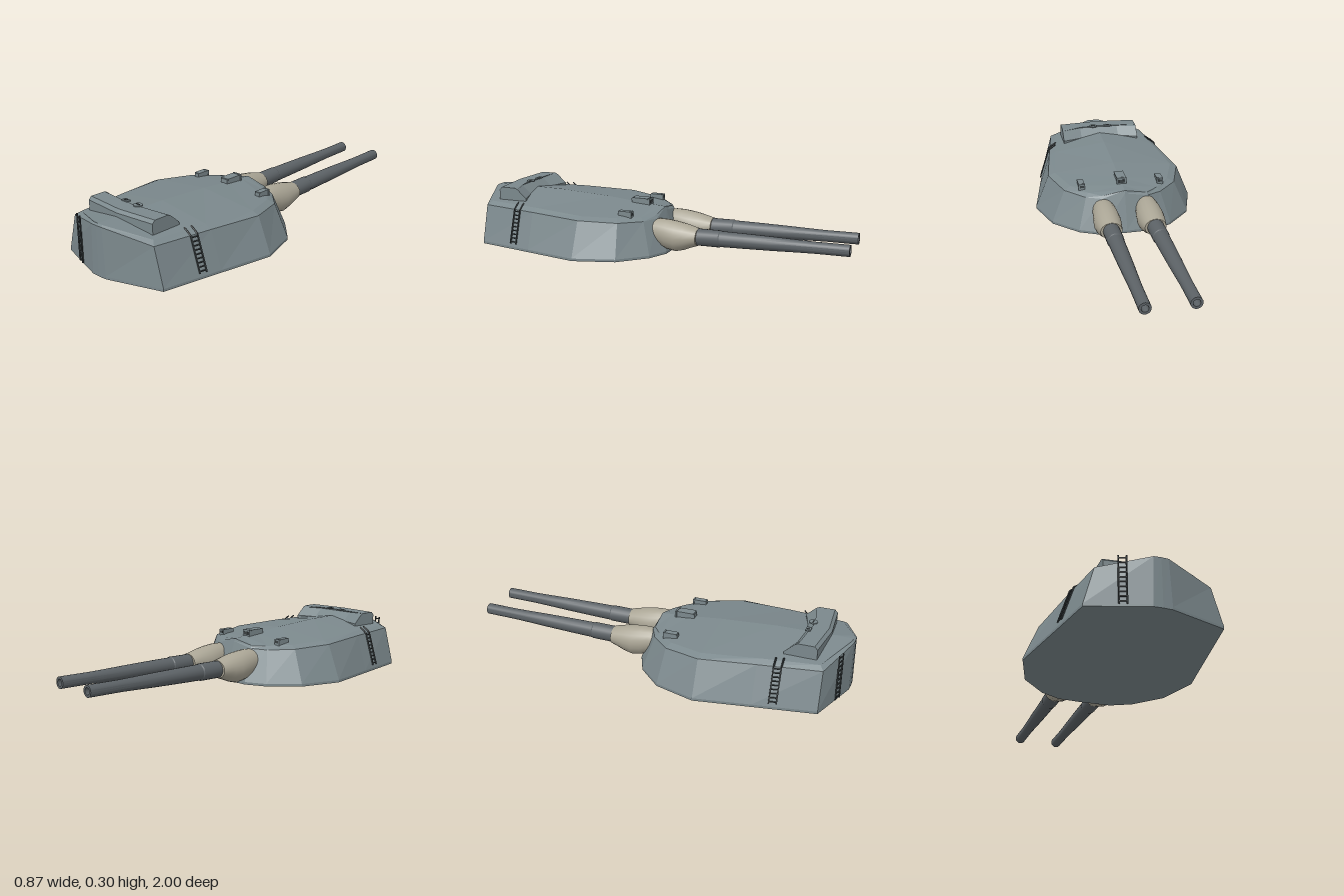
import * as THREE from 'three';
import { toCreasedNormals } from 'three/addons/utils/BufferGeometryUtils.js';

const V = (x, y, z) => new THREE.Vector3(x, y, z);
const paint = (color, flatShading = false) => new THREE.MeshStandardMaterial({ color, flatShading });

// Skin over a grid of points: grid[i][j], faces i -> i+1, j -> j+1
function skin(grid) {
  const n = grid[0].length, idx = [];
  for (let i = 0; i < grid.length - 1; i++)
    for (let j = 0; j < n - 1; j++) {
      const a = i * n + j, b = a + n;
      idx.push(a, b, b + 1, a, b + 1, a + 1);
    }
  const g = new THREE.BufferGeometry().setFromPoints(grid.flat());
  g.setIndex(idx);
  g.computeVertexNormals();
  return g;
}

export function createModel() {
  const model = new THREE.Group();
  const hullMat = paint(0x7b888c, true), fittingMat = paint(0x7b888c);
  const barrelMat = paint(0x5c6266), bagMat = paint(0xaaa595), darkMat = paint(0x3a4042);

  const add = (parent, name, geo, mat, x = 0, y = 0, z = 0) => {
    const m = new THREE.Mesh(geo, mat);
    m.name = name;
    m.position.set(x, y, z);
    parent.add(m);
    return m;
  };
  const box = (parent, name, mat, w, h, d, x, y, z) =>
    add(parent, name, new THREE.BoxGeometry(w, h, d), mat, x, y, z);

  // Armoured house: half stations from rear to front
  // [base x, z], [shoulder x, y, z], [roof edge x, y, z], ridge height
  const stations = [
    [[0, 0.997], [0, 0.25, 0.997], [0, 0.257, 0.985], 0.257],
    [[0.045, 0.995], [0.035, 0.25, 0.995], [0.03, 0.257, 0.985], 0.257],
    [[0.327, 0.905], [0.275, 0.2, 0.905], [0.25, 0.218, 0.885], 0.257],
    [[0.383, 0.6], [0.322, 0.197, 0.6], [0.29, 0.215, 0.6], 0.255],
    [[0.435, 0.32], [0.362, 0.19, 0.32], [0.325, 0.205, 0.32], 0.24],
    [[0.37, 0.11], [0.3, 0.18, 0.13], [0.265, 0.197, 0.145], 0.224],
    [[0.245, -0.02], [0.2, 0.175, 0.03], [0.185, 0.192, 0.05], 0.218],
    [[0.14, -0.07], [0.12, 0.178, -0.012], [0.12, 0.19, 0], 0.214],
    [[0, -0.075], [0, 0.2, -0.015], [0, 0.214, -0.01], 0.214],
  ];
  const column = (s, side) => {
    const [b, sh, r, ridge] = s;
    return [
      V(0, 0, b[1]), V(side * b[0], 0, b[1]), V(side * b[0], 0.013, b[1]),
      V(side * sh[0], sh[1], sh[2]), V(side * r[0], r[1], r[2]), V(0, ridge, r[2]),
    ];
  };
  const ring = [
    ...stations.map((s) => column(s, 1)),
    ...stations.slice(0, -1).reverse().map((s) => column(s, -1)),
  ];
  add(model, 'armouredHouse', skin(ring), hullMat);

  // Rangefinder hood: side profile extruded across the roof, bowed to the rear in the middle
  const profile = new THREE.Shape([
    [-0.86, 0.2], [-0.7, 0.2], [-0.7, 0.238], [-0.75, 0.283], [-0.765, 0.29], [-0.845, 0.29], [-0.86, 0.275],
  ].map(([z, y]) => new THREE.Vector2(z, y)));
  const hood = new THREE.ExtrudeGeometry(profile, { depth: 0.44, steps: 4, bevelEnabled: false });
  hood.translate(0, 0, -0.22).rotateY(Math.PI / 2);
  // rotated so profile -z lands on +z
  const hp = hood.attributes.position;
  for (let i = 0; i < hp.count; i++) {
    const bow = 1 - Math.abs(hp.getX(i)) / 0.22;
    const front = hp.getZ(i) < 0.76;
    hp.setZ(i, hp.getZ(i) + (front ? 0.035 * Math.min(1, bow * 2) : 0.02 * bow));
  }
  hood.computeVertexNormals();
  add(model, 'rangefinderHood', hood, hullMat);
  box(model, 'hoodHatchSquare', fittingMat, 0.04, 0.006, 0.025, -0.052, 0.292, 0.8 - 0.025);
  box(model, 'hoodHatchLid', darkMat, 0.016, 0.004, 0.012, -0.052, 0.295, 0.775);
  add(model, 'hoodHatchRound', new THREE.CylinderGeometry(0.022, 0.022, 0.006, 16), fittingMat, 0.034, 0.292, 0.778);
  box(model, 'hoodHatchHandle', darkMat, 0.024, 0.004, 0.005, 0.034, 0.296, 0.778);

  // Sighting hoods on the forward roof
  function sight(name, x, y, w, h, len) {
    const g = new THREE.Group();
    g.name = name;
    g.position.set(x, y, 0.125);
    box(g, 'sightBody', fittingMat, w, h, len, 0, h / 2, 0);
    box(g, 'sightLid', fittingMat, w * 1.2, 0.006, len * 0.85, 0, h, 0.002);
    box(g, 'sightFrame', fittingMat, w * 1.25, h * 1.1, 0.008, 0, h * 0.55, -len / 2);
    box(g, 'sightSlit', darkMat, w * 0.8, h * 0.4, 0.004, 0, h * 0.65, -len / 2 - 0.004);
    model.add(g);
  }
  sight('centreSight', 0, 0.205, 0.042, 0.042, 0.1);
  sight('leftSight', 0.212, 0.192, 0.027, 0.03, 0.07);
  sight('rightSight', -0.212, 0.192, 0.027, 0.03, 0.07);

  // Ladders: rails along a path, rungs between them
  const bar = (parent, name, a, b, t) => {
    const m = box(parent, name, darkMat, t, t, a.distanceTo(b), 0, 0, 0);
    m.position.copy(a).add(b).multiplyScalar(0.5);
    m.quaternion.setFromUnitVectors(V(0, 0, 1), b.clone().sub(a).normalize());
  };
  function ladder(name, path, across, rungs) {
    const g = new THREE.Group();
    g.name = name;
    for (let i = 0; i < path.length - 1; i++)
      for (const s of [-0.5, 0.5])
        bar(g, 'rail', path[i].clone().addScaledVector(across, s), path[i + 1].clone().addScaledVector(across, s), 0.006);
    for (let k = 0; k < rungs; k++) {
      const p = path[0].clone().lerp(path[1], (k + 0.5) / rungs);
      bar(g, 'rung', p.clone().addScaledVector(across, -0.5), p.clone().addScaledVector(across, 0.5), 0.005);
    }
    model.add(g);
  }
  ladder('rearLadder', [V(-0.168, 0.01, 0.964), V(-0.168, 0.246, 0.964)], V(0.034, 0, 0.011), 10);
  for (const s of [1, -1])
    ladder('sideLadder', [V(s * 0.367, 0.03, 0.698), V(s * 0.312, 0.2, 0.698), V(s * 0.272, 0.229, 0.698)],
      V(s * -0.007, 0, 0.036), 9);

  // Guns: canvas blast bag and a tapered, bored barrel on each side
  const bagStations = [ // z, centre y, half width, half height
    [0.03, 0.11, 0.055, 0.06], [-0.025, 0.11, 0.06, 0.067], [-0.07, 0.1, 0.067, 0.077],
    [-0.12, 0.093, 0.071, 0.078], [-0.165, 0.095, 0.067, 0.068], [-0.2, 0.098, 0.062, 0.056],
    [-0.235, 0.1, 0.056, 0.045], [-0.236, 0.1, 0.02, 0.02],
  ];
  const sides = 20;
  const bag = toCreasedNormals(skin(bagStations.map(([z, y, rx, ry]) =>
    Array.from({ length: sides + 1 }, (_, j) => {
      const a = (j / sides) * Math.PI * 2;
      return V(rx * Math.cos(a), y + ry * Math.sin(a), z);
    }))), 0.9);
  const barrelProfile = [
    [0.043, 0], [0.043, 0.15], [0.04, 0.155], [0.038, 0.28], [0.035, 0.42], [0.031, 0.55],
    [0.029, 0.63], [0.029, 0.8], [0.017, 0.8], [0.017, 0.66], [0, 0.66],
  ].map(([r, y]) => new THREE.Vector2(r, y));
  const barrel = toCreasedNormals(new THREE.LatheGeometry(barrelProfile, 20).rotateX(-Math.PI / 2), 0.5);
  for (const s of [1, -1]) {
    const gun = new THREE.Group();
    gun.name = s > 0 ? 'leftGun' : 'rightGun';
    gun.position.x = s * 0.114;
    add(gun, 'blastBag', bag, bagMat);
    add(gun, 'barrel', barrel, barrelMat, 0, 0.1, -0.2).rotation.x = 0.017;
    model.add(gun);
  }
  return model;
}
